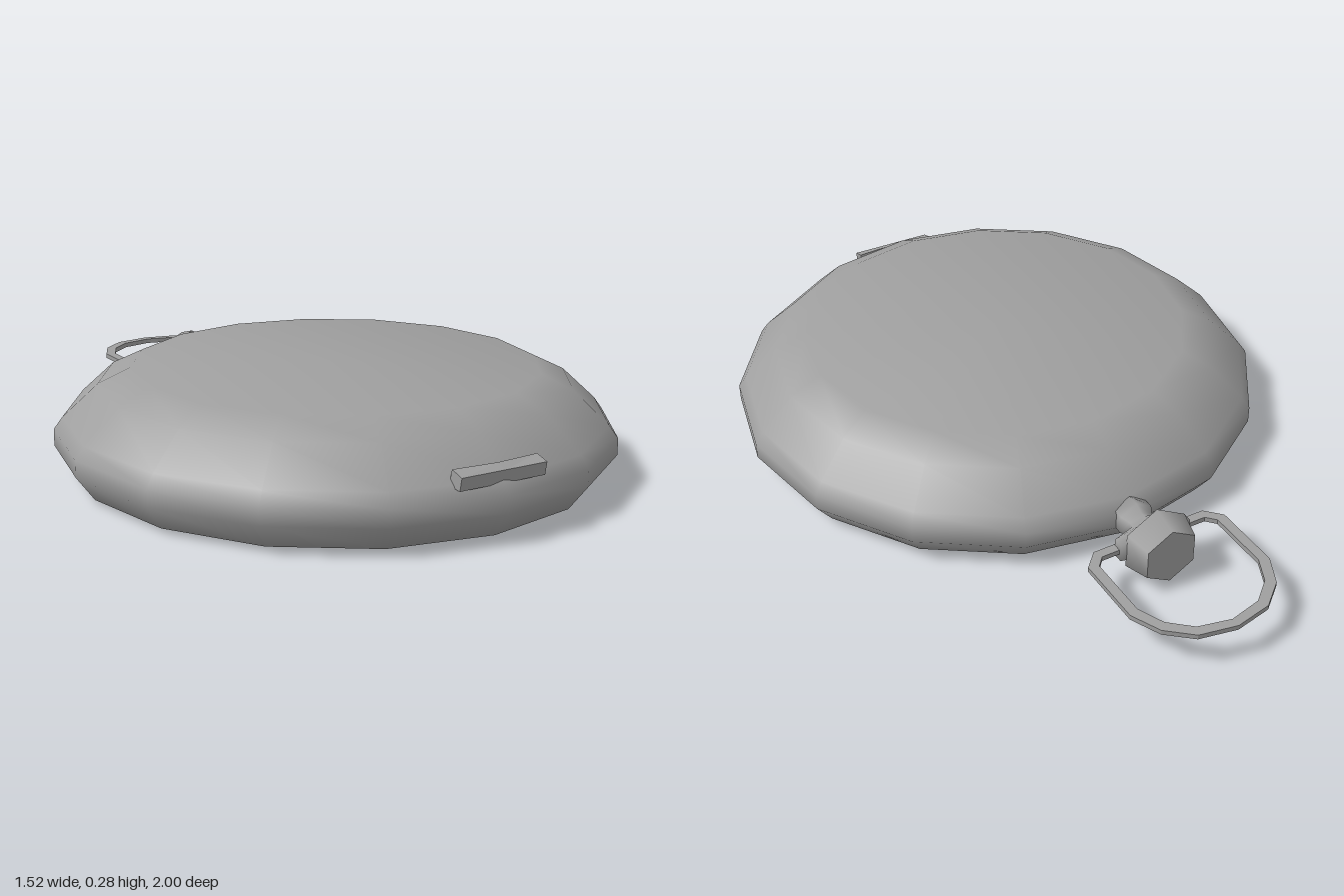
import * as THREE from 'three';

const AXIS_Y = 0.102; // height of the stem, crown and bow
const smooth = new THREE.MeshStandardMaterial({ color: 0x9f9f9f, side: THREE.DoubleSide });
const flat = new THREE.MeshStandardMaterial({ color: 0x9f9f9f, flatShading: true });
const points = (list) => list.map(([x, y]) => new THREE.Vector2(x, y));

// Turned part whose shading blends evenly across every ring, end caps included
function softLathe(profile, sides) {
  const geometry = new THREE.LatheGeometry(profile, sides);
  const slopes = profile.slice(1).map((b, k) => {
    const a = profile[k];
    return new THREE.Vector2(b.y - a.y, a.x - b.x).normalize();
  });
  const normal = geometry.attributes.normal;
  for (let i = 0; i < normal.count; i++) {
    const ring = i % profile.length;
    const angle = (Math.floor(i / profile.length) / sides) * Math.PI * 2;
    const before = slopes[Math.max(ring - 1, 0)];
    const after = slopes[Math.min(ring, slopes.length - 1)];
    const n = before.clone().add(after).normalize();
    normal.setXYZ(i, n.x * Math.sin(angle), n.y, n.x * Math.cos(angle));
  }
  return geometry;
}

export function createModel() {
  const model = new THREE.Group();
  const add = (name, geometry, material, x = 0, y = 0, z = 0) => {
    const mesh = new THREE.Mesh(geometry, material);
    mesh.name = name;
    mesh.position.set(x, y, z);
    model.add(mesh);
  };

  // Sixteen-sided rounded case
  const caseProfile = points([
    [0, 0.01], [0.713, 0.01], [0.762, 0.076], [0.762, 0.122],
    [0.738, 0.155], [0.643, 0.242], [0.555, 0.284], [0, 0.284],
  ]);
  add('case', softLathe(caseProfile, 16), smooth, 0, 0, 0.235);

  // Stem running back from the case, widening sideways into lugs for the bow
  const stemProfile = points([
    [0, 0], [0.054, 0], [0.054, 0.035], [0.04, 0.058],
    [0.042, 0.075], [0.05, 0.1], [0.05, 0.13], [0, 0.13],
  ]);
  const stem = softLathe(stemProfile, 6);
  const p = stem.attributes.position;
  for (let i = 0; i < p.count; i++) {
    if (p.getY(i) > 0.09) p.setX(i, p.getX(i) * 2.45);
  }
  stem.rotateX(-Math.PI / 2);
  add('stem', stem, smooth, 0, AXIS_Y, -0.505);

  // Hexagonal winding crown
  const crown = new THREE.CylinderGeometry(0.082, 0.102, 0.075, 6);
  crown.rotateX(-Math.PI / 2);
  add('crown', crown, smooth, 0, AXIS_Y, -0.67);

  // Thin bow: mirrored half outlines, with the inner one cut out
  const mirrored = (half) => points([...half, ...half.slice(0, -1).reverse().map(([x, y]) => [-x, y])]);
  const bowShape = new THREE.Shape(mirrored([
    [0.168, 0.602], [0.21, 0.645], [0.21, 0.842], [0.172, 0.922], [0.104, 0.979], [0, 1],
  ]));
  bowShape.holes.push(new THREE.Path(mirrored([
    [0.158, 0.628], [0.182, 0.654], [0.182, 0.832], [0.15, 0.902], [0.091, 0.953], [0, 0.974],
  ])));
  const bow = new THREE.ExtrudeGeometry(bowShape, { depth: 0.014, bevelEnabled: false });
  bow.rotateX(-Math.PI / 2);
  add('bow', bow, flat, 0, AXIS_Y - 0.007, 0);

  // Small opening latch on the front rim, hollowed slightly along its back
  const latchSection = new THREE.Shape(points([
    [-0.972, 0.146], [-0.978, 0.18], [-0.94, 0.191], [-0.93, 0.148],
  ]));
  const latch = new THREE.ExtrudeGeometry(latchSection, { depth: 0.25, steps: 2, bevelEnabled: false });
  latch.rotateY(Math.PI / 2);
  latch.translate(-0.125, 0, 0);
  const q = latch.attributes.position;
  for (let i = 0; i < q.count; i++) {
    if (Math.abs(q.getX(i)) < 0.01 && q.getZ(i) < 0.96) q.setZ(i, q.getZ(i) + 0.01);
  }
  add('latch', latch, flat);

  return model;
}
